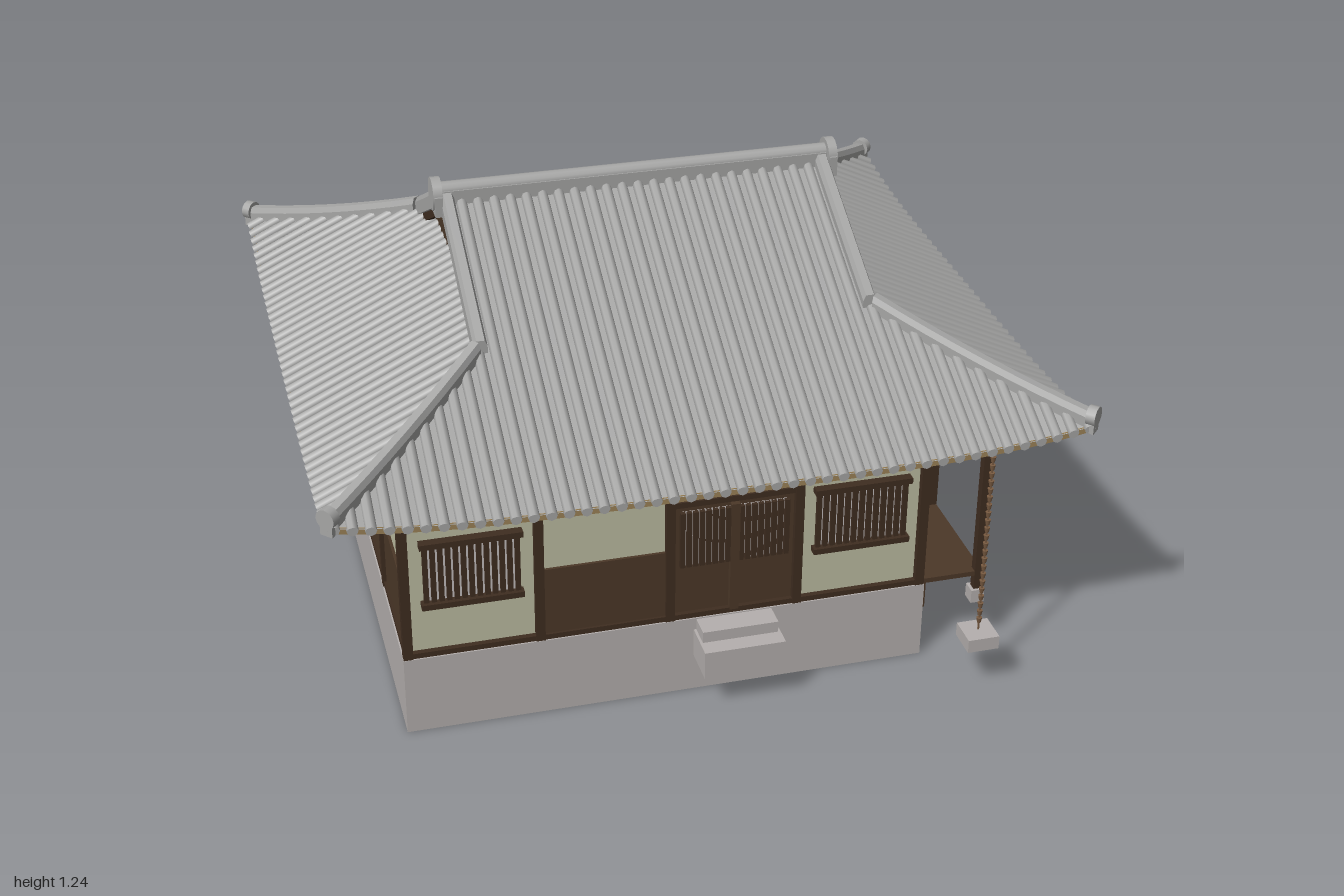
import * as THREE from 'three';
import { mergeGeometries } from 'three/addons/utils/BufferGeometryUtils.js';

const mat = (name, color, side = THREE.FrontSide) => {
  const m = new THREE.MeshStandardMaterial({ color, side });
  m.name = name;
  return m;
};
const M = {
  tile: mat('roof tile grey', 0xa6a6a5, THREE.DoubleSide),
  wood: mat('brown wood', 0x4c3828),
  dark: mat('dark wood', 0x3f2d20),
  plaster: mat('wall plaster', 0xbdbda2),
  stone: mat('stone', 0xb5b0ae),
  paper: mat('screen paper', 0xc2bdbd),
  lattice: mat('pale lattice wood', 0x9c8358),
  chain: mat('chain copper', 0x7a5c42),
};
M.gable = M.wood;

function add(parent, name, geo, material) {
  const mesh = new THREE.Mesh(geo, material);
  mesh.name = name;
  parent.add(mesh);
  return mesh;
}
function box(parent, name, material, x0, x1, y0, y1, z0, z1) {
  const m = add(parent, name, new THREE.BoxGeometry(x1 - x0, y1 - y0, z1 - z0), material);
  m.position.set((x0 + x1) / 2, (y0 + y1) / 2, (z0 + z1) / 2);
  return m;
}
function group(parent, name) {
  const g = new THREE.Group();
  g.name = name;
  parent.add(g);
  return g;
}

// Solid with a constant [sideways, upward] section carried along a path
function sweep(path, section) {
  const pos = [], idx = [], n = section.length, up = new THREE.Vector3(0, 1, 0);
  path.forEach((p, i) => {
    const dir = path[Math.min(i + 1, path.length - 1)].clone().sub(path[Math.max(i - 1, 0)]);
    const side = dir.cross(up).normalize();
    section.forEach(([a, b]) => pos.push(p.x + side.x * a, p.y + b, p.z + side.z * a));
  });
  const last = (path.length - 1) * n;
  for (let i = 0; i < last; i += n)
    for (let j = 0; j < n; j++) {
      const k = (j + 1) % n;
      idx.push(i + j, i + n + j, i + n + k, i + j, i + n + k, i + k);
    }
  for (let j = 1; j < n - 1; j++) idx.push(0, j, j + 1, last, last + j + 1, last + j);
  const g = new THREE.BufferGeometry();
  g.setAttribute('position', new THREE.Float32BufferAttribute(pos, 3));
  g.setIndex(idx);
  const flat = g.toNonIndexed();
  flat.computeVertexNormals();
  return flat;
}
const rect = (w, b0, b1) => [[-w, b0], [w, b0], [w, b1], [-w, b1]];
const ridgeSection = [[-0.018, -0.02], [0.018, -0.02], [0.018, 0.02], [0.011, 0.036], [-0.011, 0.036], [-0.018, 0.02]];

// Roof shape: t = 0 at the eave, 1 at the gable foot, TOP at the main ridge
const TOP = 0.89 / 0.44;
const halfWidth = (kind, t) => kind === 'main' ? Math.max(0.53, 0.975 - 0.445 * t) : 0.89 - 0.44 * t;
function roofPoint(kind, a, t, drop = 0) {
  const d = 0.44 * t, u = Math.min(1, Math.abs(a) / halfWidth(kind, t));
  const lift = 0.045 * u ** 4 * Math.max(0, 1 - t) ** 2;
  const y = 0.727 + 0.49 * d + 0.02 * d * d + lift - drop;
  return kind === 'main' ? new THREE.Vector3(a, y, 0.89 - d) : new THREE.Vector3(0.975 - 0.445 * t, y, -a);
}
const slopeLine = (kind, a, t0, t1, n, drop = 0) =>
  Array.from({ length: n + 1 }, (_, i) => roofPoint(kind, a, t0 + (t1 - t0) * i / n, drop));

function roofSlope(parent, kind) {
  const main = kind === 'main', g = group(parent, main ? 'mainSlope' : 'endSlope');
  const top = main ? TOP : 1.09;
  const reach = a => Math.abs(a) < (main ? 0.52 : 0.41) ? top
    : Math.min(1, main ? (0.975 - Math.abs(a)) / 0.445 : (0.89 - Math.abs(a)) / 0.44);
  // Curved tile bed, with a row placed exactly at the gable foot
  const NU = 24, rows = [0, 0.2, 0.4, 0.6, 0.8, 1, ...(main ? [1.35, 1.7, TOP] : [1.09])];
  const bed = new THREE.PlaneGeometry(1, 1, NU, rows.length - 1), p = bed.attributes.position;
  for (let i = 0; i < p.count; i++) {
    const t = rows[rows.length - 1 - Math.floor(i / (NU + 1))];
    const v = roofPoint(kind, ((i % (NU + 1)) / NU * 2 - 1) * halfWidth(kind, t), t);
    p.setXYZ(i, v.x, v.y, v.z);
  }
  bed.computeVertexNormals();
  add(g, 'tileBed', bed, M.tile);
  // Round tile rows with disc ends
  const step = main ? 0.0435 : 0.042, count = main ? 22 : 20, ribs = [];
  for (let i = -count; i <= count; i++) {
    const a = i * step, t1 = reach(a);
    if (t1 < 0.04) continue;
    const curve = new THREE.CatmullRomCurve3(slopeLine(kind, a, -0.01, t1, 6));
    ribs.push(new THREE.TubeGeometry(curve, 8, 0.0145, 8));
    const cap = new THREE.CircleGeometry(0.0145, 8), e = curve.getPoint(0);
    if (!main) cap.rotateY(Math.PI / 2);
    ribs.push(cap.translate(e.x, e.y, e.z));
  }
  add(g, 'tileRows', mergeGeometries(ribs), M.tile);
  // Eave board following the upturned edge
  const w = halfWidth(kind, 0.02);
  const edge = Array.from({ length: 25 }, (_, i) => roofPoint(kind, (i / 12 - 1) * w, 0.02));
  add(g, 'eaveBoard', sweep(edge, rect(0.007, -0.02, -0.002)), M.lattice);
  // Rafters under the overhang
  const rafters = [];
  for (let i = -10; i <= 10; i++) {
    const a = i * (main ? 0.09 : 0.082), t1 = Math.min(reach(a), main ? 0.46 : 0.8);
    if (t1 > 0.1) rafters.push(sweep(slopeLine(kind, a, 0.05, t1, 3, 0.012), rect(0.009, -0.026, 0)));
  }
  add(g, 'rafters', mergeGeometries(rafters), M.dark);
}

function roof(parent) {
  for (const turn of [0, Math.PI]) {
    const half = group(parent, 'roofHalf');
    half.rotation.y = turn;
    roofSlope(half, 'main');
    roofSlope(half, 'end');
    // Gable wall
    const tri = new THREE.Shape([[-0.44, 0.93], [0.44, 0.93], [0, 1.16]].map(q => new THREE.Vector2(...q)));
    const wall = add(half, 'gableWall', new THREE.ShapeGeometry(tri), M.gable);
    wall.rotation.y = Math.PI / 2;
    wall.position.x = 0.495;
    // Verge and hip ridges with bargeboards
    for (const s of [1, -1]) {
      const flip = v => new THREE.Vector3(v.x, v.y, v.z * s);
      const verge = slopeLine('main', 0.516, 1, TOP - 0.03, 4).map(flip);
      const hip = Array.from({ length: 9 }, (_, i) => roofPoint('main', 0.975 - 0.445 * i / 8, i / 8)).map(flip);
      add(half, 'vergeRidge', sweep(verge, ridgeSection), M.tile);
      add(half, 'bargeboard', sweep(verge, rect(0.008, -0.045, -0.019)), M.dark);
      add(half, 'hipRidge', sweep(hip, ridgeSection), M.tile);
      const end = add(half, 'hipEndTile', new THREE.CylinderGeometry(0.027, 0.027, 0.025, 12).rotateX(Math.PI / 2), M.tile);
      end.position.set(0.968, 0.798, 0.883 * s);
      end.rotation.y = s * Math.PI / 4 + (s < 0 ? Math.PI : 0);
    }
    // Ridge end tile
    const disc = add(half, 'ridgeEndTile', new THREE.CylinderGeometry(0.045, 0.045, 0.025, 16).rotateZ(Math.PI / 2), M.tile);
    disc.position.set(0.543, 1.193, 0);
    box(half, 'ridgeEndFoot', M.tile, 0.532, 0.553, 1.145, 1.2, -0.05, 0.05);
  }
  box(parent, 'ridgeCourse', M.tile, -0.535, 0.535, 1.14, 1.205, -0.025, 0.025);
  add(parent, 'ridgeCap', new THREE.CylinderGeometry(0.022, 0.022, 1.08, 12).rotateZ(Math.PI / 2), M.tile).position.y = 1.202;
}

// Bay fillings; c is the bay centre, wall face at W
const W = 0.685, BAY = 0.345;
function bars(g, c, half, y0, y1, n) {
  box(g, 'windowPaper', M.paper, c - half, c + half, y0, y1, W, W + 0.004);
  for (let i = 0; i <= n; i++) {
    const x = c - half + 2 * half * i / n;
    box(g, 'windowBar', M.dark, x - 0.0065, x + 0.0065, y0, y1, W + 0.003, W + 0.015);
  }
}
function screens(g, c, y0, y1, half, cols, rows) {
  box(g, 'screenPaper', M.paper, c - half, c + half, y0, y1, W, W + 0.005);
  for (let i = 0; i <= cols; i++) {
    const x = c - half + 2 * half * i / cols, h = i % (cols / 2) ? 0.002 : 0.005;
    box(g, 'screenUpright', M.lattice, x - h, x + h, y0, y1, W + 0.004, W + 0.009);
  }
  for (let i = 0; i <= rows; i++) {
    const y = y0 + (y1 - y0) * i / rows;
    box(g, 'screenRail', M.lattice, c - half, c + half, y - 0.002, y + 0.002, W + 0.004, W + 0.008);
  }
}
const rail = (g, c, y) => box(g, 'wallRail', M.dark, c - BAY / 2, c + BAY / 2, y - 0.008, y + 0.008, W, W + 0.013);
const frame = (g, c, half) => [0.382, 0.562].forEach(y =>
  box(g, 'windowFrame', M.dark, c - half, c + half, y - 0.008, y + 0.008, W, W + 0.025));
const fill = {
  window(g, c) { bars(g, c, 0.118, 0.385, 0.56, 12); frame(g, c, 0.132); },
  wainscot(g, c) { box(g, 'wainscot', M.wood, c - 0.172, c + 0.172, 0.235, 0.435, W, W + 0.008); },
  sideWindow(g, c) { fill.wainscot(g, c); screens(g, c, 0.39, 0.56, 0.12, 6, 3); frame(g, c, 0.132); },
  rail(g, c) { rail(g, c, 0.575); },
  door(g, c) {
    box(g, 'doorBoards', M.wood, c - 0.172, c + 0.172, 0.235, 0.58, W - 0.005, W + 0.002);
    bars(g, c, 0.14, 0.385, 0.55, 16);
    box(g, 'doorMeeting', M.wood, c - 0.012, c + 0.012, 0.235, 0.56, W, W + 0.017);
    rail(g, c, 0.575);
  },
  boards(g, c) { box(g, 'boardPanel', M.wood, c - 0.172, c + 0.172, 0.235, 0.575, W, W + 0.006); rail(g, c, 0.575); },
  shoji(g, c) {
    box(g, 'screenFoot', M.wood, c - 0.16, c + 0.16, 0.235, 0.288, W, W + 0.008);
    screens(g, c, 0.288, 0.565, 0.157, 6, 5);
    rail(g, c, 0.575);
  },
};
function facade(parent, name, turn, bays) {
  const g = group(parent, name);
  g.rotation.y = turn;
  box(g, 'sill', M.dark, -0.7, 0.7, 0.222, 0.24, W, W + 0.015);
  box(g, 'topBeam', M.dark, -0.7, 0.7, 0.688, 0.706, W, W + 0.014);
  for (let i = 0; i < 5; i++) {
    const x = (i - 2) * BAY;
    box(g, 'wallPost', M.dark, x - 0.012, x + 0.012, 0.225, 0.78, W - 0.005, W + 0.018);
  }
  bays.forEach((b, i) => fill[b](g, (i - 1.5) * BAY));
}

function veranda(parent) {
  const g = group(parent, 'veranda');
  box(g, 'deck', M.wood, 0.61, 0.785, 0.226, 0.24, -0.7, 0.7);
  box(g, 'underDeckBoards', M.wood, 0.621, 0.627, 0.145, 0.228, -0.695, 0.695);
  box(g, 'verandaBeam', M.dark, 0.765, 0.785, 0.69, 0.712, -0.72, 0.72);
  for (let i = -2; i <= 2; i++) {
    const z = i * BAY;
    box(g, 'verandaPost', M.dark, 0.764, 0.786, 0.18, 0.76, z - 0.012, z + 0.012);
    box(g, 'footingStone', M.stone, 0.755, 0.792, 0.145, 0.184, z - 0.02, z + 0.02);
    box(g, 'tieBeam', M.dark, 0.61, 0.77, 0.679, 0.69, z - 0.007, z + 0.007);
  }
}

export function createModel() {
  const model = new THREE.Group();
  model.name = 'tiledHouse';
  const house = group(model, 'house');
  house.position.x = -0.085;
  // Hollow stone base
  for (let i = 0; i < 4; i++) {
    const side = group(house, 'baseSide');
    side.rotation.y = i * Math.PI / 2;
    box(side, 'baseWall', M.stone, -0.704, 0.704, 0, 0.225, 0.698, 0.704);
  }
  box(house, 'baseSlab', M.stone, -0.7, 0.7, 0.215, 0.225, -0.7, 0.7);
  box(house, 'walls', M.plaster, -W, W, 0.225, 0.8, -W, W);
  facade(house, 'frontWall', 0, ['window', 'wainscot', 'door', 'window']);
  facade(house, 'verandaWall', Math.PI / 2, ['shoji', 'shoji', 'shoji', 'boards']);
  facade(house, 'backWall', Math.PI, ['window', 'rail', 'shoji', 'rail']);
  facade(house, 'plainWall', -Math.PI / 2, ['wainscot', 'sideWindow', 'wainscot', 'wainscot']);
  veranda(model);
  roof(model);
  // Entrance steps
  box(model, 'lowerStep', M.stone, -0.022, 0.197, 0.11, 0.19, 0.7, 0.815);
  box(model, 'upperStep', M.stone, -0.015, 0.19, 0.19, 0.222, 0.7, 0.768);
  // Rain chain and its basin
  const chain = group(model, 'rainChain');
  for (let i = 0; i < 22; i++)
    add(chain, 'chainCup', new THREE.CylinderGeometry(0.008, 0.005, 0.015, 8), M.chain).position.set(0.715, 0.2 + i * 0.0235, 0.86);
  box(chain, 'chainCore', M.chain, 0.713, 0.717, 0.17, 0.72, 0.858, 0.862);
  box(chain, 'basin', M.stone, 0.672, 0.758, 0.13, 0.168, 0.817, 0.903);
  return model;
}
